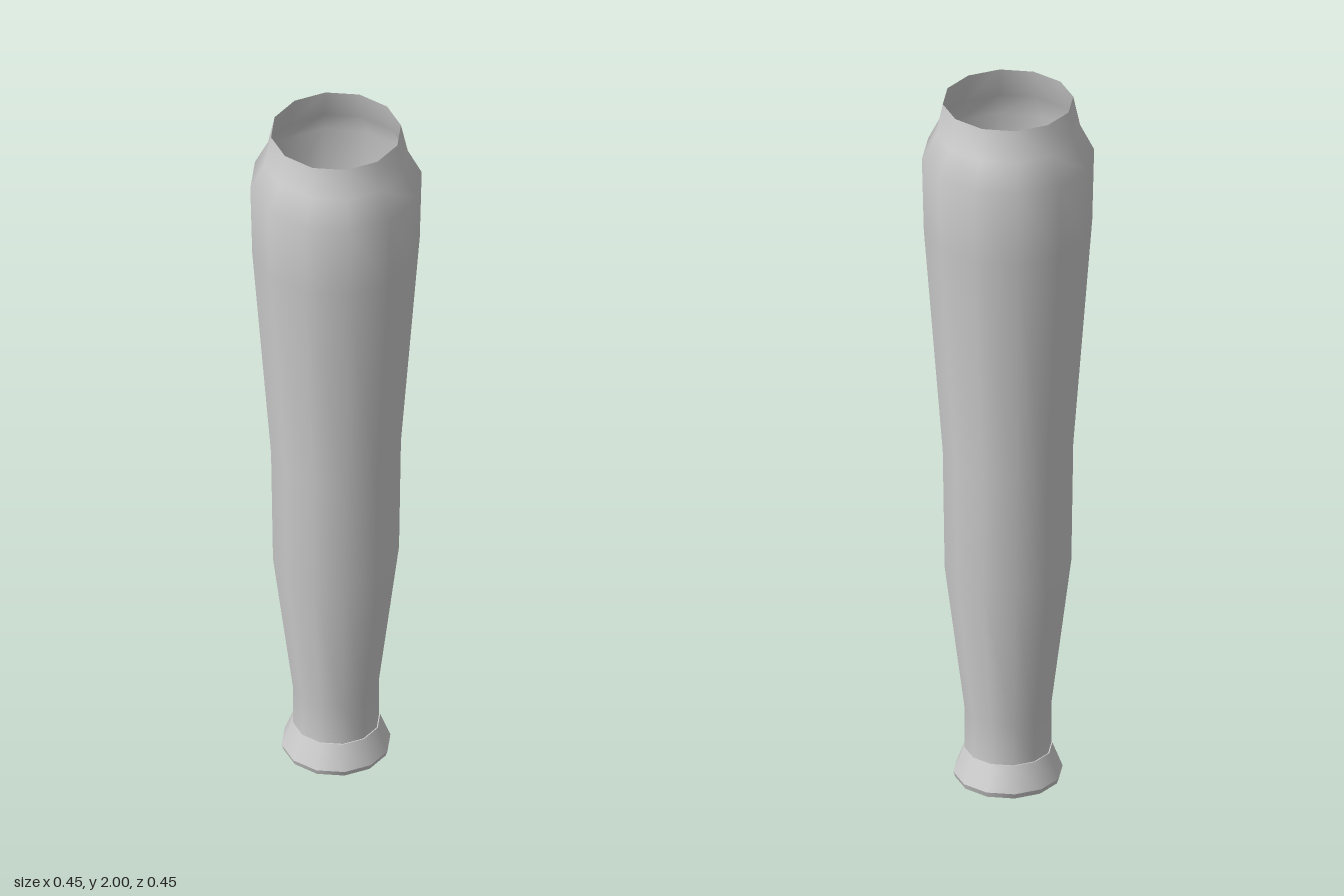
import * as THREE from 'three';

const SIDES = 12;

// Open surface of revolution from [radius, height] pairs, bottom to top
function turned(name, profile, material) {
  const points = profile.map(([r, y]) => new THREE.Vector2(r, y));
  const mesh = new THREE.Mesh(new THREE.LatheGeometry(points, SIDES), material);
  mesh.name = name;
  return mesh;
}

export function createModel() {
  const group = new THREE.Group();
  group.name = 'hollowSleeve';
  const grey = new THREE.MeshStandardMaterial({ color: 0xcccccc, side: THREE.DoubleSide });
  grey.name = 'light grey';

  // Long tapering tube, open at the top, with a shoulder and neck
  group.add(turned('tube', [
    [0.114, 0.085], [0.114, 0.2], [0.167, 0.625], [0.172, 0.97],
    [0.222, 1.63], [0.227, 1.84], [0.19, 1.915], [0.172, 2],
  ], grey));

  // Flared foot collar with a crisp upper edge
  group.add(turned('footCollar', [[0.144, 0.015], [0.117, 0.085]], grey));
  // Narrow ledge joining the collar to the tube
  group.add(turned('collarLedge', [[0.117, 0.085], [0.114, 0.085]], grey));
  // Undercut lip at the open bottom
  group.add(turned('bottomLip', [[0.139, 0], [0.144, 0.015]], grey));

  return group;
}
